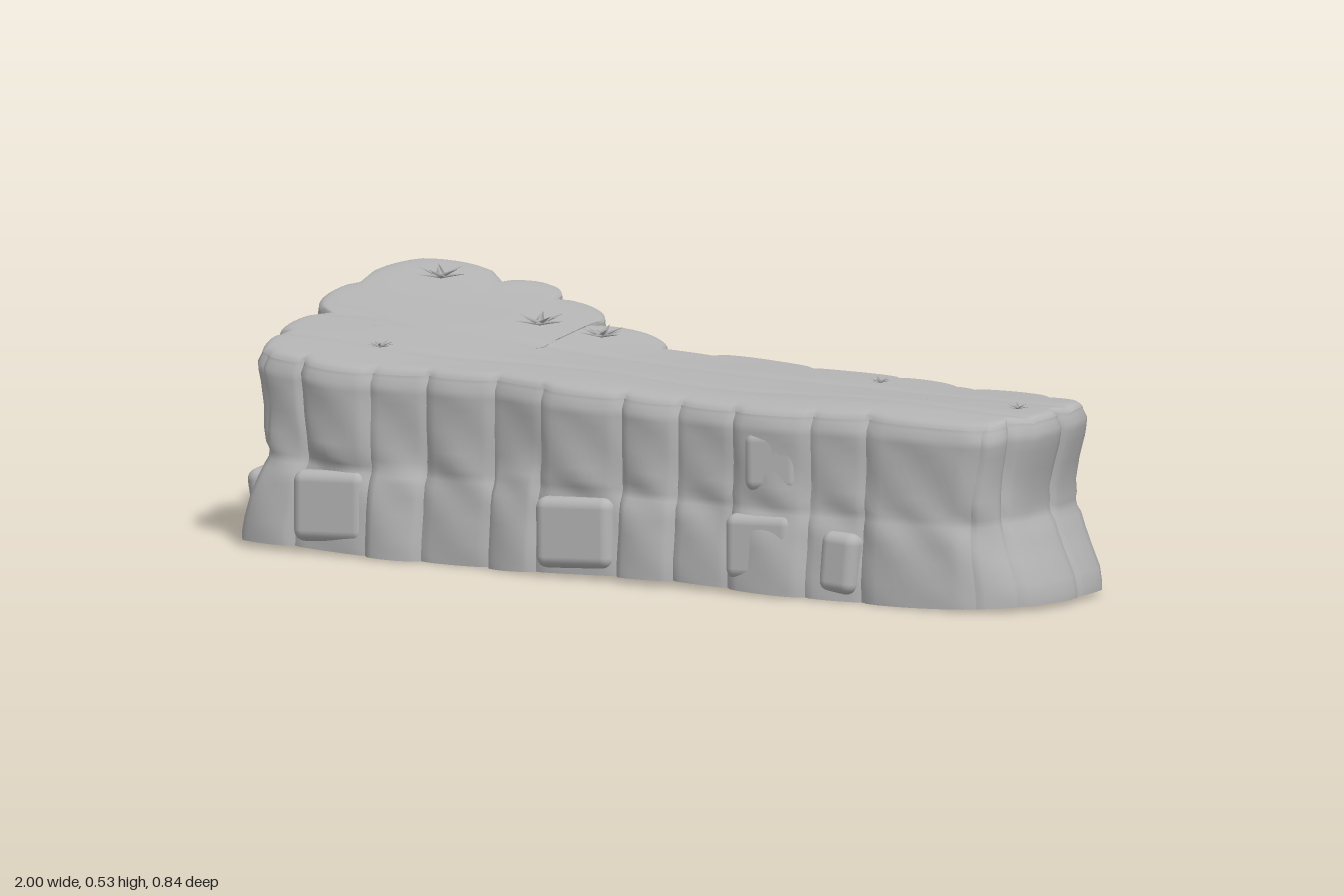
import * as THREE from 'three';
import { mergeVertices } from 'three/addons/utils/BufferGeometryUtils.js';
import { RoundedBoxGeometry } from 'three/addons/geometries/RoundedBoxGeometry.js';

const { clamp, lerp, smoothstep } = THREE.MathUtils;

// Creases between rock columns, counter-clockwise from the left end: [x, z, bulge of the column]
const creases = [
  [-0.93, -0.03, 0.04], [-0.95, 0.13, 0.025], [-0.91, 0.27, 0.015], [-0.81, 0.29, 0.025],
  [-0.63, 0.31, 0.01], [-0.5, 0.3, 0.015], [-0.33, 0.31, 0.005], [-0.2, 0.34, 0.02],
  [0, 0.35, 0.015], [0.14, 0.355, 0.01], [0.28, 0.37, 0.02], [0.47, 0.375, 0.01],
  [0.6, 0.365, 0.02], [0.88, 0.37, 0.015], [0.91, 0.31, 0.03], [0.94, 0.14, 0.02],
  [0.93, 0.02, 0.015], [0.84, 0, 0.04], [0.63, -0.06, 0.01], [0.57, -0.08, 0.025],
  [0.42, -0.12, 0.025], [0.2, -0.13, 0.045], [-0.04, -0.13, 0.005], [-0.16, -0.12, 0.06],
  [-0.37, -0.18, 0.06], [-0.53, -0.32, 0.06], [-0.68, -0.35, 0.15], [-0.96, -0.22, 0.05]
];
const OVERHANG = 23; // columns from here on lean out at the back left
const levels = [0, 0.04, 0.12, 0.25, 0.34, 0.41, 0.45, 0.49, 0.53, 0.6, 0.72, 0.84, 0.9, 0.94, 0.98, 1];
const STEPS = 12;

// Foot of a crease: tucked in under the overhang, spread out at the ends and front
function foot([x, z]) {
  if (z < -0.1 && x < -0.1) return [x * 0.9 + 0.01, -0.12];
  const spread = Math.abs(x) > 0.9 ? 0.04 * Math.sign(x) : 0;
  return [x + spread, z < 0 ? z * 0.75 : z + 0.022 * smoothstep(z, 0.2, 0.3)];
}

// Height of the plateau, rising towards the back left, with two shallow seams
function topHeight(x, z) {
  const rise = 1 - smoothstep(x, -0.95, 0.3);
  const seam = c => 0.004 * Math.exp(-(((z - c - 0.05 * x - 0.012 * Math.sin(x * 9)) / 0.015) ** 2));
  return 0.405 + 0.125 * rise * clamp((0.3 - z) / 0.68, 0, 1) - 0.015 * smoothstep(z, 0.28, 0.4) +
    0.004 * Math.sin(x * 8) * Math.cos(z * 11) - seam(0.05) - seam(0.2);
}
const spine = x => [clamp(x, -0.75, 0.8), 0.12 + 0.06 * x];

// Point on column i, t along its width, v up its height
function wallPoint(i, t, v) {
  const a = creases[i], b = creases[(i + 1) % creases.length];
  const footA = foot(a), footB = foot(b);
  const overhang = i >= OVERHANG;
  const lean = overhang ? Math.pow(clamp((v - 0.28) / 0.69, 0, 1), 1.5) : smoothstep(v, 0.1, 0.9);
  const split = 0.47 + 0.06 * Math.sin(i * 2.3);
  const block = overhang ? lean : smoothstep(v, split - 0.05, split + 0.05);
  const mix = k => lerp(lerp(footA[k], a[k], lean), lerp(footB[k], b[k], lean), t);
  const dx = b[0] - a[0], dz = b[1] - a[1], len = Math.hypot(dx, dz);
  const lowBulge = overhang ? 0.015 : 0.025 - 0.015 * (i % 2);
  const bulge = lerp(lowBulge, a[2], block) * Math.pow(Math.max(0, Math.sin(Math.PI * t)), overhang ? 0.55 : 0.4);
  const px = mix(0) - dz / len * bulge, pz = mix(1) + dx / len * bulge;
  // Waist between the two courses, drawn in further at the ends, and a rounded rim
  const middle = Math.pow(Math.sin(Math.PI * v), 2);
  const waist = 0.008 * middle + 0.007 * Math.exp(-(((v - 0.47) / 0.04) ** 2));
  const endWaist = 0.045 * Math.pow(Math.abs(px), 6) * Math.sign(px) * middle;
  const rim = 0.012 * smoothstep(v, 0.93, 1);
  const wobble = 0.006 * Math.sin(px * 31 + v * 9) * Math.sin(v * 8 + px * 7) * Math.sin(Math.PI * v);
  const [sx, sz] = spine(px), d = Math.hypot(px - sx, pz - sz);
  const k = 1 - (waist + rim + wobble) / d;
  const low = 0.006 + 0.006 * Math.sin(px * 6 + 1);
  return [sx + (px - sx) * k - endWaist, lerp(low, topHeight(px, pz) - 0.012, v), sz + (pz - sz) * k];
}

// Surface from a grid of points, rows x cols, with smooth normals
function gridGeometry(rows, cols, point, flip = false) {
  const pos = [], index = [];
  for (let r = 0; r < rows; r++) for (let c = 0; c < cols; c++) pos.push(...point(r, c));
  for (let r = 0; r < rows - 1; r++) for (let c = 0; c < cols - 1; c++) {
    const a = r * cols + c, b = a + 1, d = a + cols, e = d + 1;
    index.push(...(flip ? [a, d, b, b, d, e] : [a, b, d, b, e, d]));
  }
  let g = new THREE.BufferGeometry();
  g.setAttribute('position', new THREE.Float32BufferAttribute(pos, 3));
  g.setIndex(index);
  g = mergeVertices(g, 1e-5);
  g.computeVertexNormals();
  return g;
}

export function createModel() {
  const model = new THREE.Group();
  const stone = new THREE.MeshStandardMaterial({ color: 0xb4b4b4, side: THREE.DoubleSide });
  stone.name = 'grey stone';
  const add = (geometry, name, parent = model) => {
    const mesh = new THREE.Mesh(geometry, stone);
    mesh.name = name;
    parent.add(mesh);
    return mesh;
  };

  // Rock columns around the sides
  const walls = new THREE.Group();
  walls.name = 'rockWalls';
  model.add(walls);
  creases.forEach((_, i) => add(
    gridGeometry(levels.length, STEPS + 1, (r, c) => wallPoint(i, c / STEPS, levels[r])), 'rockColumn', walls));

  // Plateau and underside, closing the outline towards its spine
  const loop = v => {
    const pts = [];
    creases.forEach((_, i) => { for (let s = 0; s < STEPS; s++) pts.push(wallPoint(i, s / STEPS, v)); });
    pts.push(pts[0]);
    return pts;
  };
  const topRim = loop(1), baseRim = loop(0), rings = 24;
  const inward = (p, t) => {
    const [sx, sz] = spine(p[0]);
    return [lerp(p[0], sx, t), lerp(p[2], sz, t)];
  };
  add(gridGeometry(rings + 1, topRim.length, (r, c) => {
    const p = topRim[c], t = Math.pow(r / rings, 1.3), [x, z] = inward(p, t);
    return [x, r ? topHeight(x, z) - 0.012 * Math.exp(-t * 25) : p[1], z];
  }), 'plateau');
  add(gridGeometry(5, baseRim.length, (r, c) => {
    const p = baseRim[c], [x, z] = inward(p, r / 4);
    return [x, p[1], z];
  }, true), 'underside');

  // Smaller blocks set into the faces: x, y, z, width, height, depth, turn
  [[-0.1, 0.095, 0.362, 0.18, 0.15, 0.06, 0.06], [0.38, 0.28, 0.368, 0.13, 0.13, 0.05, 0.08],
    [0.55, 0.08, 0.38, 0.09, 0.13, 0.06, -0.1], [0.36, 0.1, 0.387, 0.16, 0.14, 0.05, 0.05],
    [-0.72, 0.1, 0.31, 0.17, 0.15, 0.06, 0.05], [0.3, 0.12, -0.085, 0.16, 0.13, 0.06, 0.05],
    [-0.92, 0.09, 0.21, 0.08, 0.14, 0.12, 0.3]
  ].forEach(([x, y, z, w, h, d, turn]) => {
    const block = add(new RoundedBoxGeometry(w, h, d, 4, 0.024), 'setBlock');
    block.position.set(x, y, z);
    block.rotation.set(-0.05, turn, turn * 0.6);
  });

  // Low spiky tufts: x, z, radius
  [[-0.79, -0.27, 0.055], [-0.45, -0.09, 0.055], [-0.3, -0.09, 0.05],
    [-0.68, 0.18, 0.03], [0.43, 0.01, 0.025], [0.87, 0.2, 0.025]
  ].forEach(([x, z, radius], n) => {
    const tuft = new THREE.Group();
    tuft.name = 'tuft';
    tuft.position.set(x, topHeight(x, z) + 0.004, z);
    for (let i = 0; i < 10; i++) {
      const leaf = new THREE.ConeGeometry(radius * 0.22, radius, 4);
      leaf.translate(0, radius / 2, 0).scale(1, 1, 0.4).rotateX(i % 2 ? 1.45 : 1.2);
      add(leaf, 'leaf', tuft).rotation.y = i * Math.PI / 5 + n;
    }
    model.add(tuft);
  });

  // Thin roots hanging beneath the overhang: x, z, top, length
  [[-0.87, -0.33, 0.43, 0.16], [-0.82, -0.385, 0.48, 0.07], [-0.88, -0.39, 0.48, 0.07], [-0.76, -0.36, 0.47, 0.07],
    [-0.62, -0.33, 0.45, 0.06], [-0.69, -0.32, 0.44, 0.05], [-0.92, -0.35, 0.46, 0.06], [-0.56, -0.3, 0.43, 0.05]
  ].forEach(([x, z, top, length]) => {
    const root = new THREE.ConeGeometry(0.007, length, 5);
    root.rotateX(Math.PI);
    add(root, 'hangingRoot').position.set(x, top - length / 2, z);
  });
  return model;
}
